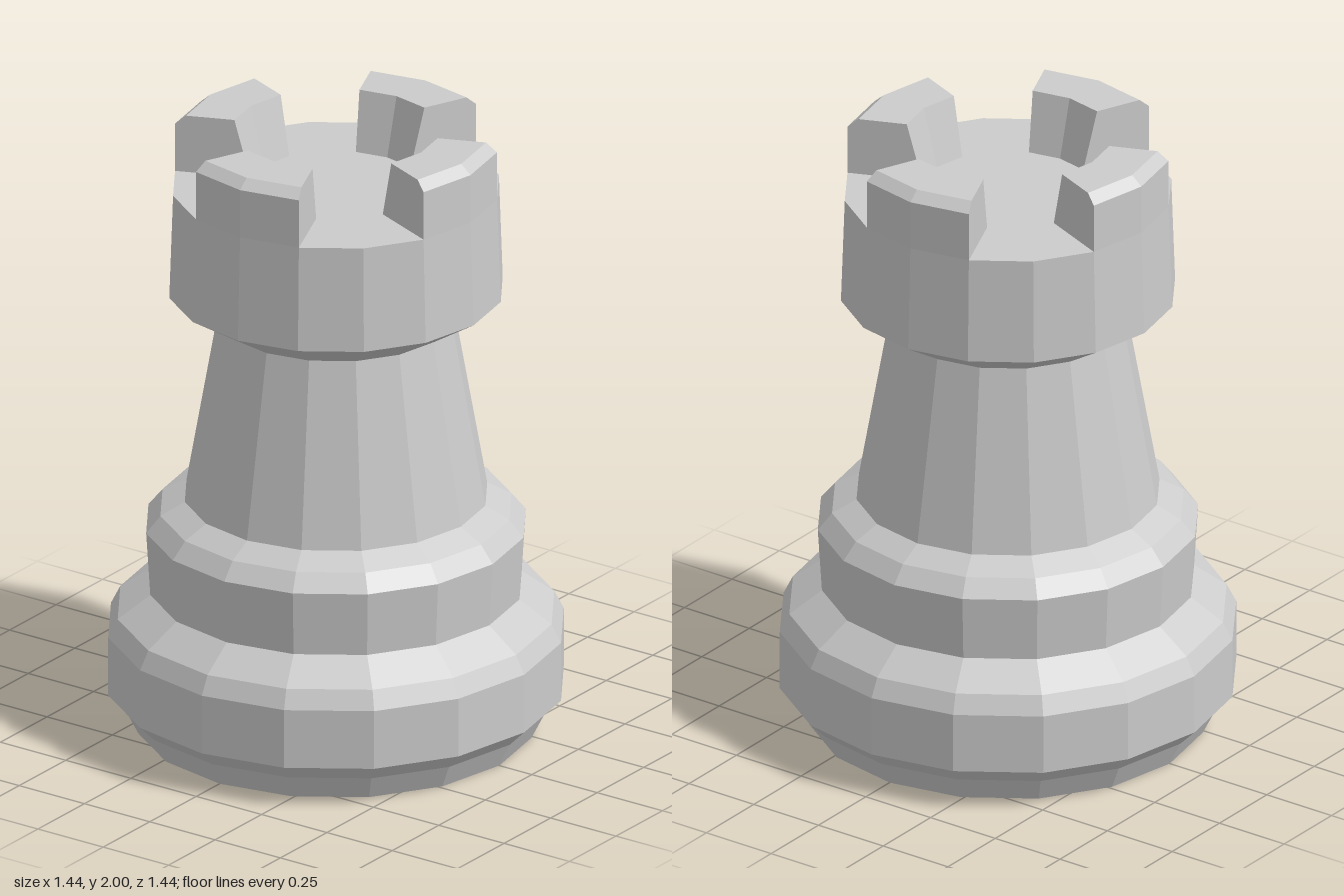
import * as THREE from 'three';
import { mergeGeometries } from 'three/addons/utils/BufferGeometryUtils.js';

const SIDES = 16;
const STEP = (Math.PI * 2) / SIDES;
const material = new THREE.MeshStandardMaterial({ color: 0xcccccc, flatShading: true });

const toPoints = (pairs) => pairs.map(([r, y]) => new THREE.Vector2(r, y));

function faceted(geometry) {
  const g = geometry.toNonIndexed();
  g.computeVertexNormals();
  return g;
}

function turned(name, pairs) {
  const mesh = new THREE.Mesh(faceted(new THREE.LatheGeometry(toPoints(pairs), SIDES)), material);
  mesh.name = name;
  return mesh;
}

// Ring segment two facets wide, closed by a flat cap at each end
function merlonGeometry() {
  const section = toPoints([[0.515, 1.81], [0.515, 1.97], [0.48, 2], [0.325, 2], [0.275, 1.81]]);
  const wall = new THREE.LatheGeometry([...section, section[0].clone()], 2, -STEP, 2 * STEP);
  const shape = new THREE.Shape(section);
  const startCap = new THREE.ShapeGeometry(shape).rotateY(-STEP - Math.PI / 2);
  const endCap = new THREE.ShapeGeometry(shape).rotateY(STEP - Math.PI / 2);
  endCap.index.array.reverse();
  return mergeGeometries([wall, startCap, endCap].map(faceted));
}

export function createModel() {
  const model = new THREE.Group();
  model.name = 'rook';

  // Stacked turned body
  model.add(turned('base', [
    [0, 0], [0.625, 0], [0.665, 0.08], [0.72, 0.135], [0.72, 0.33], [0.69, 0.39], [0.587, 0.465],
  ]));
  model.add(turned('collar', [
    [0.587, 0.465], [0.6, 0.675], [0.555, 0.73], [0.478, 0.772],
  ]));
  model.add(turned('column', [[0.478, 0.772], [0.373, 1.37]]));
  model.add(turned('head', [
    [0.373, 1.37], [0.527, 1.465], [0.515, 1.81], [0, 1.81],
  ]));

  // Four battlements around the rim
  const geometry = merlonGeometry();
  for (let i = 0; i < 4; i++) {
    const merlon = new THREE.Mesh(geometry, material);
    merlon.name = `battlement${i + 1}`;
    merlon.rotation.y = (i * Math.PI) / 2;
    model.add(merlon);
  }
  return model;
}
